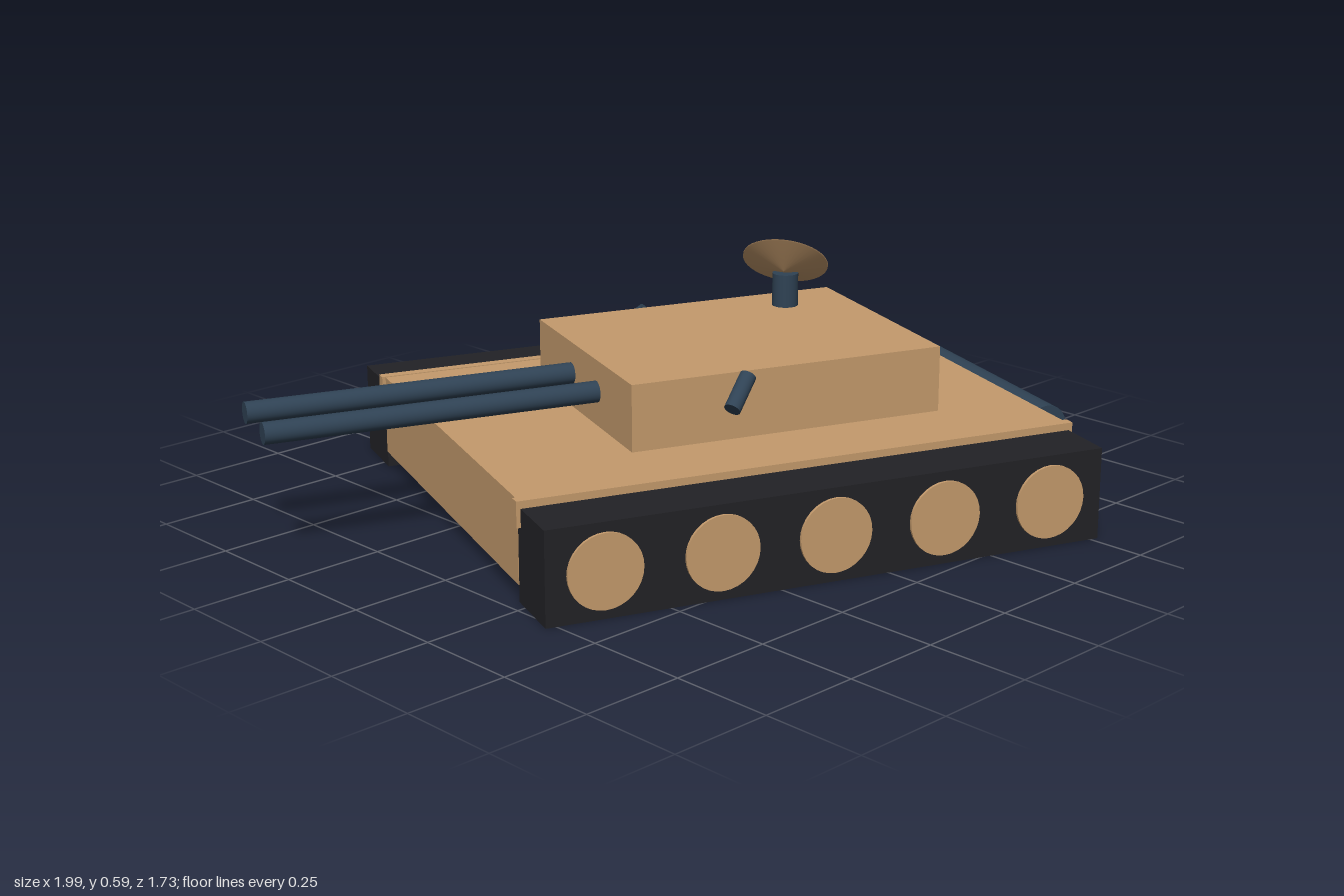
import * as THREE from 'three';

const tan = new THREE.MeshStandardMaterial({ color: 0xc49a6c });
const rubber = new THREE.MeshStandardMaterial({ color: 0x222226 });
const steel = new THREE.MeshStandardMaterial({ color: 0x2f4254 });
const UP = new THREE.Vector3(0, 1, 0);

export function createModel() {
  const model = new THREE.Group();
  model.name = 'tank';

  // The tank runs along its local x (guns to -x) and is turned about y
  const tank = new THREE.Group();
  tank.name = 'tankBody';
  tank.rotation.y = -0.366;
  tank.position.set(0.11, 0, -0.003);
  model.add(tank);

  const add = (name, geometry, material, x, y, z) => {
    const mesh = new THREE.Mesh(geometry, material);
    mesh.name = name;
    mesh.position.set(x, y, z);
    tank.add(mesh);
    return mesh;
  };
  const box = (name, material, w, h, d, x, y, z) =>
    add(name, new THREE.BoxGeometry(w, h, d), material, x, y, z);
  // Cylinder between two points
  const rod = (name, material, radius, from, to) => {
    const a = new THREE.Vector3(...from), b = new THREE.Vector3(...to);
    const dir = b.clone().sub(a);
    const mid = a.clone().add(b).multiplyScalar(0.5);
    const mesh = add(name, new THREE.CylinderGeometry(radius, radius, dir.length(), 32), material, mid.x, mid.y, mid.z);
    mesh.quaternion.setFromUnitVectors(UP, dir.normalize());
    return mesh;
  };

  // Hull and turret
  box('hull', tan, 1.386, 0.2, 0.998, 0, 0.14, 0);
  box('turret', tan, 0.8, 0.165, 0.608, 0.056, 0.3195, 0);

  for (const s of [1, -1]) {
    const side = s > 0 ? 'left' : 'right';
    // Track block, with wheels showing on both faces
    box(side + 'Track', rubber, 1.384, 0.224, 0.165, 0, 0.112, s * 0.5805);
    for (let i = -2; i <= 2; i++) {
      rod(side + 'Wheel', tan, 0.089, [i * 0.277, 0.112, s * 0.49], [i * 0.277, 0.112, s * 0.67]);
    }
    // Lip along the hull edge
    box(side + 'Fender', tan, 1.404, 0.062, 0.026, 0, 0.211, s * 0.504);
    // Main gun barrel
    rod(side + 'Barrel', steel, 0.026, [-1.148, 0.324, s * 0.083], [-0.3, 0.324, s * 0.083]);
    // Small launcher on the turret side
    rod(side + 'Launcher', steel, 0.02, [-0.055, 0.392, s * 0.311], [-0.116, 0.33, s * 0.357]);
  }

  // Fuel drum across the rear
  rod('rearDrum', steel, 0.054, [0.748, 0.17, -0.331], [0.748, 0.17, 0.331]);

  // Dish on its mast: flat face with a shallow conical back
  rod('dishMast', steel, 0.033, [0.28, 0.395, -0.19], [0.28, 0.486, -0.19]);
  const profile = [[0, -0.032], [0.109, -0.002], [0.109, 0.002], [0, 0.002]].map(p => new THREE.Vector2(...p));
  const dish = add('dish', new THREE.LatheGeometry(profile, 40), tan, 0.286, 0.514, -0.203);
  dish.quaternion.setFromUnitVectors(UP, new THREE.Vector3(0.4, 0.743, -0.534).normalize());

  return model;
}
